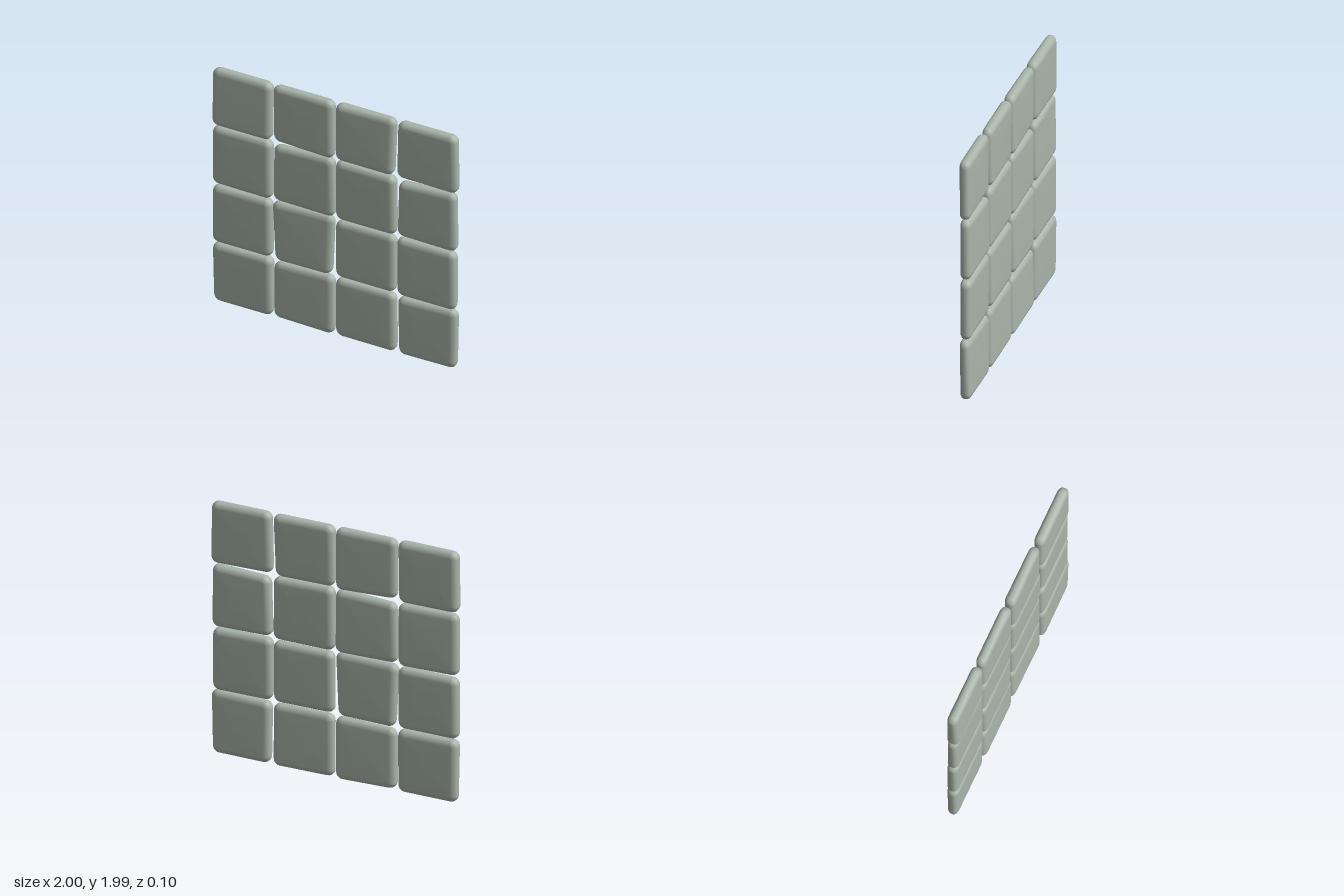
import * as THREE from 'three';

// Each tile: its four outer corners, top-left, top-right, bottom-right, bottom-left (x, y pairs)
const ROWS = [
  [
    [-1, 2, -0.515, 2, -0.52, 1.515, -1, 1.52],
    [-0.505, 2, -0.01, 2, -0.01, 1.51, -0.5, 1.53],
    [0.005, 2, 0.497, 2, 0.477, 1.515, 0.005, 1.52],
    [0.515, 2, 0.995, 2, 1, 1.513, 0.505, 1.523],
  ],
  [
    [-1, 1.505, -0.515, 1.505, -0.515, 1.01, -1, 1.02],
    [-0.5, 1.49, -0.01, 1.512, -0.005, 1.01, -0.505, 1.02],
    [0.005, 1.512, 0.495, 1.505, 0.497, 1.01, 0.005, 1.01],
    [0.522, 1.485, 0.987, 1.505, 0.99, 1.01, 0.508, 1.022],
  ],
  [
    [-1, 0.998, -0.515, 1, -0.515, 0.515, -1, 0.517],
    [-0.512, 1.005, -0.008, 1.012, -0.03, 0.512, -0.487, 0.508],
    [0.005, 0.997, 0.495, 0.997, 0.49, 0.515, 0.005, 0.517],
    [0.505, 1.003, 0.985, 1, 0.985, 0.508, 0.508, 0.512],
  ],
  [
    [-1, 0.505, -0.512, 0.505, -0.512, 0.01, -0.99, 0.012],
    [-0.497, 0.49, -0.008, 0.5, -0.01, 0.005, -0.497, 0.02],
    [0.005, 0.503, 0.495, 0.5, 0.495, 0.008, 0.005, 0.012],
    [0.513, 0.495, 0.998, 0.507, 0.985, 0.01, 0.522, 0.01],
  ],
];

const HALF = 0.245, CORNER = 0.055, ARC = 6;
// Soft edge section: inset from the outline, and depth from -1 (back) to 1 (front)
const EDGE = [
  [0.05, 1], [0.034, 0.96], [0.018, 0.82], [0.006, 0.58], [0, 0.25],
  [0, -0.25], [0.006, -0.58], [0.018, -0.82], [0.034, -0.96], [0.05, -1],
];

function seeded(seed) {
  let s = seed;
  return () => (s = (s * 16807) % 2147483647) / 2147483647;
}

// Blend four corner values across the tile; u runs right, v runs up
function blend(c, u, v) {
  return (c[0] * (1 - u) + c[1] * u) * v + (c[3] * (1 - u) + c[2] * u) * (1 - v);
}

function tileGeometry(q, front, back) {
  const positions = [], index = [];
  const xs = [q[0], q[2], q[4], q[6]], ys = [q[1], q[3], q[5], q[7]];
  const add = (x, y, d) => {
    const u = x / (2 * HALF) + 0.5, v = y / (2 * HALF) + 0.5;
    const depth = d > 0 ? d * blend(front, u, v) : -d * blend(back, u, v);
    positions.push(blend(xs, u, v), blend(ys, u, v), depth);
  };
  // Rounded-square rings from front to back
  for (const [inset, d] of EDGE) {
    for (let k = 0; k < 4; k++) {
      const a0 = k * Math.PI / 2;
      const cx = (k === 0 || k === 3 ? 1 : -1) * (HALF - CORNER);
      const cy = (k < 2 ? 1 : -1) * (HALF - CORNER);
      for (let i = 0; i <= ARC; i++) {
        const a = a0 + (i / ARC) * Math.PI / 2;
        add(cx + Math.cos(a) * (CORNER - inset), cy + Math.sin(a) * (CORNER - inset), d);
      }
    }
  }
  const n = 4 * (ARC + 1), last = (EDGE.length - 1) * n;
  for (let r = 0; r < EDGE.length - 1; r++) {
    for (let i = 0; i < n; i++) {
      const a = r * n + i, b = r * n + (i + 1) % n;
      index.push(a, a + n, b, b, a + n, b + n);
    }
  }
  // Front and back faces
  add(0, 0, 1.03);
  add(0, 0, -1.03);
  const centre = EDGE.length * n;
  for (let i = 0; i < n; i++) {
    const j = (i + 1) % n;
    index.push(centre, i, j, centre + 1, last + j, last + i);
  }
  const g = new THREE.BufferGeometry();
  g.setAttribute('position', new THREE.Float32BufferAttribute(positions, 3));
  g.setIndex(index);
  g.computeVertexNormals();
  return g;
}

export function createModel() {
  const group = new THREE.Group();
  group.name = 'tilePanel';
  const stone = new THREE.MeshStandardMaterial({ color: 0xa9b5aa });
  stone.name = 'grey green stone';
  const random = seeded(417);
  const wobble = (base) => [0, 1, 2, 3].map(() => base + (random() - 0.5) * 0.01);

  ROWS.forEach((row, r) => row.forEach((corners, c) => {
    const front = wobble(0.039), back = wobble(-0.042);
    // One top tile leans out at its lower edge
    if (r === 0 && c === 0) { front[2] = 0.046; front[3] = 0.053; }
    const tile = new THREE.Mesh(tileGeometry(corners, front, back), stone);
    tile.name = `tileRow${r + 1}Column${c + 1}`;
    group.add(tile);
  }));
  return group;
}
